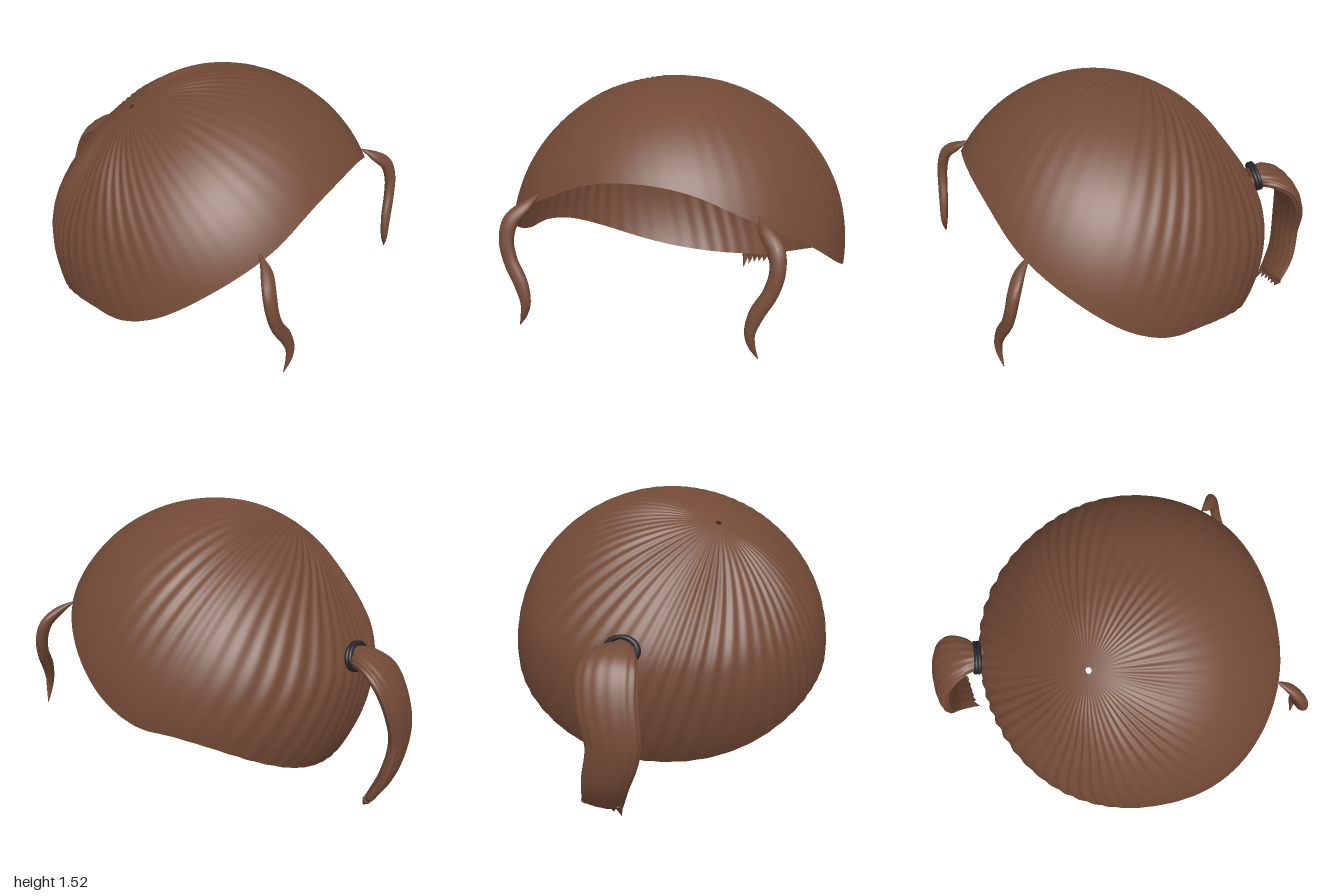
import * as THREE from 'three';

const V = (x, y, z) => new THREE.Vector3(x, y, z);
const { smoothstep } = THREE.MathUtils;

// Rim height along z from front to back, as a smooth curve
const RIM = new THREE.SplineCurve([[0.96, 1.32], [0.88, 1.19], [0.8, 1.04], [0.6, 0.855], [0.4, 0.7], [0.2, 0.605],
  [0, 0.58], [-0.2, 0.515], [-0.4, 0.39], [-0.59, 0.21], [-0.8, 0.0]].map(p => new THREE.Vector2(...p))).getPoints(200);
function rimY(z) {
  let i = 0;
  while (i < RIM.length - 2 && z < RIM[i + 1].x) i++;
  const a = RIM[i], b = RIM[i + 1];
  return a.y + (b.y - a.y) * (z - a.x) / (b.x - a.x);
}

// Skull shape: a unit direction becomes a point on an uneven ellipsoid
function skull(u, lift = 0) {
  const back = u.z < 0, zz = u.z * u.z;
  let r = 1 + lift;
  if (back) r *= 1 + 0.08 * u.x * u.x * zz;
  else if (u.y > 0) r *= 1 + 0.05 * u.y * u.y * zz;
  const depth = back ? 0.91 * (1 - 0.09 * smoothstep(u.y, 0.1, 0.6)) : 0.855;
  return V(0.9 * u.x * r, 0.65 + 0.88 * u.y * r, 0.2 + depth * u.z * r);
}

// Grid of points, closed around each row, to a smooth geometry
function gridGeometry(rows, capped) {
  const n = rows[0].length, pos = [], idx = [];
  rows.forEach(row => row.forEach(p => pos.push(p.x, p.y, p.z)));
  for (let i = 0; i < rows.length - 1; i++) for (let j = 0; j < n; j++) {
    const a = i * n + j, b = i * n + (j + 1) % n;
    idx.push(a, b, a + n, b, b + n, a + n);
  }
  if (capped) [0, rows.length - 1].forEach((r, end) => {
    const c = rows[r].reduce((s, p) => s.add(p), V(0, 0, 0)).divideScalar(n);
    const k = pos.length / 3;
    pos.push(c.x, c.y, c.z);
    for (let j = 0; j < n; j++) {
      const a = r * n + j, b = r * n + (j + 1) % n;
      if (end) idx.push(a, b, k); else idx.push(b, a, k);
    }
  });
  const g = new THREE.BufferGeometry();
  g.setAttribute('position', new THREE.Float32BufferAttribute(pos, 3));
  g.setIndex(idx);
  g.computeVertexNormals();
  return g;
}

// Cap of hair, combed outward from the crown with shallow ribs
function capGeometry() {
  const pole = V(-0.3, 0.84, -0.45).normalize();
  const e1 = V(1, 0, 0).addScaledVector(pole, -pole.x).normalize();
  const e2 = V(0, 0, 0).crossVectors(e1, pole);
  const N = 448, M = 36, start = 0.018, rows = Array.from({ length: M + 1 }, () => []);
  for (let j = 0; j < N; j++) {
    const phi = j / N * Math.PI * 2;
    const dir = e1.clone().multiplyScalar(Math.cos(phi)).addScaledVector(e2, Math.sin(phi));
    const at = t => pole.clone().multiplyScalar(Math.cos(t)).addScaledVector(dir, Math.sin(t));
    const inside = t => { const p = skull(at(t)); return p.y > rimY(p.z); };
    // march to the rim, then refine
    let hi = 0.3;
    while (hi < 3 && inside(hi)) hi += 0.03;
    let lo = hi - 0.03;
    for (let k = 0; k < 18; k++) {
      const mid = (lo + hi) / 2;
      if (inside(mid)) lo = mid; else hi = mid;
    }
    const wave = Math.cos(phi * 58 + 1.5 * Math.sin(phi * 5)) * (0.7 + 0.3 * Math.sin(phi * 7));
    for (let i = 0; i <= M; i++) {
      const t = start + (lo - start) * i / M, u = at(t);
      const amp = (0.001 + 0.006 * smoothstep(-u.z, -0.3, 0.4)) * smoothstep(t, 0.08, 0.5)
        * (1 - 0.7 * smoothstep(i / M, 0.65, 1));
      rows[i].push(skull(u, wave * amp));
    }
  }
  return gridGeometry(rows, false);
}

// Flat lock swept along stations [x, y, z, half width, half thickness]
function lockGeometry(stations, side, steps, around, ribs = 0, ribDepth = 0) {
  const path = new THREE.CatmullRomCurve3(stations.map(s => V(s[0], s[1], s[2])));
  const size = new THREE.CatmullRomCurve3(stations.map(s => V(s[3], s[4], 0)), false, 'catmullrom', 0.5);
  const rows = [];
  for (let i = 0; i <= steps; i++) {
    const t = i / steps, c = path.getPoint(t), s = size.getPoint(t), T = path.getTangent(t);
    const w = side.clone().addScaledVector(T, -side.dot(T)).normalize();
    const h = V(0, 0, 0).crossVectors(T, w);
    rows.push(Array.from({ length: around }, (_, j) => {
      const a = -j / around * Math.PI * 2, r = 1 + ribDepth * Math.cos(a * ribs);
      return c.clone().addScaledVector(w, Math.cos(a) * s.x * r).addScaledVector(h, Math.sin(a) * s.y * r);
    }));
  }
  return gridGeometry(rows, true);
}

export function createModel() {
  const model = new THREE.Group();
  const hair = new THREE.MeshStandardMaterial({ color: 0x734a36, side: THREE.DoubleSide });
  hair.name = 'brown hair';
  const band = new THREE.MeshStandardMaterial({ color: 0x25252b });
  band.name = 'dark band';
  const add = (geo, mat, name, parent = model) => {
    const m = new THREE.Mesh(geo, mat);
    m.name = name;
    parent.add(m);
    return m;
  };

  add(capGeometry(), hair, 'hairCap');

  // Curled locks framing the face
  for (const s of [1, -1]) {
    const stations = [
      [0.54, 1.055, 0.77, 0.004, 0.004], [0.585, 1.01, 0.835, 0.032, 0.022], [0.64, 0.95, 0.885, 0.04, 0.028],
      [0.655, 0.86, 0.915, 0.037, 0.028], [0.63, 0.76, 0.935, 0.036, 0.026], [0.575, 0.66, 0.957, 0.036, 0.024],
      [0.55, 0.57, 0.973, 0.026, 0.02], [0.56, 0.51, 0.976, 0.018, 0.014], [0.59, 0.44, 0.97, 0.002, 0.002],
    ].map(([x, ...rest]) => [x * s, ...rest]);
    add(lockGeometry(stations, V(1, 0, 0), 40, 14), hair, s > 0 ? 'leftSideLock' : 'rightSideLock');
  }

  // Ponytail arching out from the band and hanging down
  const ponytail = new THREE.Group();
  ponytail.name = 'ponytail';
  model.add(ponytail);
  add(lockGeometry([
    [0.18, 0.845, -0.66, 0.06, 0.045], [0.185, 0.85, -0.7, 0.078, 0.05], [0.205, 0.85, -0.76, 0.115, 0.047],
    [0.228, 0.8, -0.845, 0.148, 0.05], [0.225, 0.66, -0.918, 0.148, 0.048], [0.195, 0.45, -0.95, 0.132, 0.045],
    [0.24, 0.25, -0.915, 0.116, 0.04], [0.268, 0.1, -0.84, 0.102, 0.026],
  ], V(1, 0, 0.08), 48, 96, 14, 0.025), hair, 'ponytailBody', ponytail);

  // Pointed ends of the ponytail strands, longest on one side
  const tipDir = V(-0.08, -0.88, 0.46).normalize();
  [0.11, 0.08, 0.062, 0.055, 0.05, 0.04].forEach((length, i) => {
    const cone = new THREE.ConeGeometry(0.024, length, 12);
    cone.translate(0, length / 2 - 0.01, 0);
    const tip = add(cone, hair, 'ponytailTip', ponytail);
    tip.position.set(0.187 + i * 0.033, 0.098 + i * 0.002, -0.845 + i * 0.003);
    tip.quaternion.setFromUnitVectors(V(0, 1, 0), tipDir);
  });

  // Root tufts poking through inside the cap
  for (const x of [0.143, 0.212]) {
    const tuft = add(new THREE.SphereGeometry(0.031, 16, 12), hair, 'rootTuft', ponytail);
    tuft.scale.set(1, 0.85, 0.6);
    tuft.position.set(x, 0.842, -0.652);
  }

  // Hair band, tilted to lie against the cap
  const hairBand = new THREE.Group();
  hairBand.name = 'hairBand';
  model.add(hairBand);
  for (const z of [-0.008, 0.01]) {
    const ring = add(new THREE.TorusGeometry(0.066, 0.012, 12, 36), band, 'bandRing', hairBand);
    ring.scale.x = 1.25;
    ring.position.z = z;
  }
  hairBand.position.set(0.182, 0.848, -0.692);
  hairBand.rotation.set(0.25, -0.2, 0);
  return model;
}
